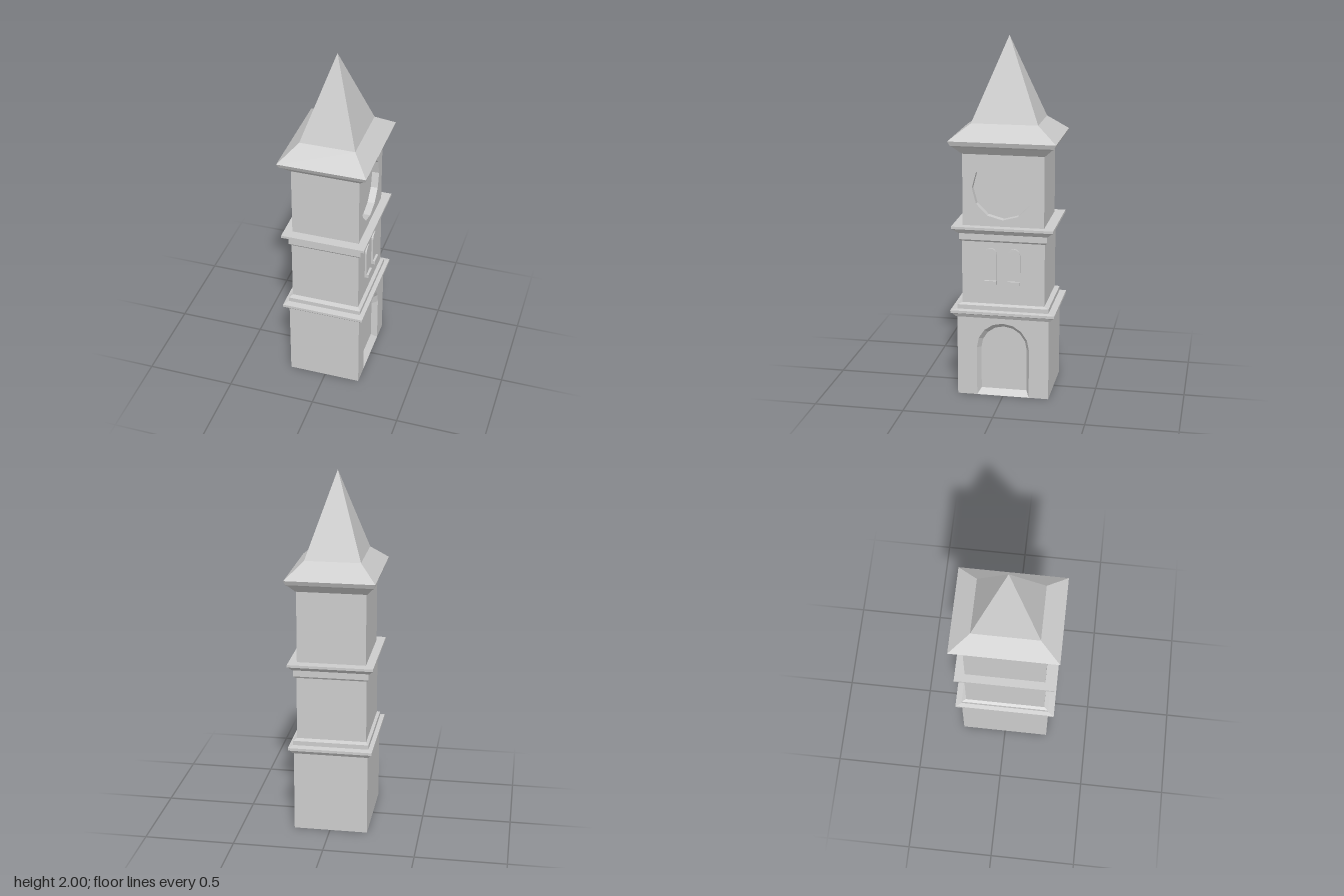
import * as THREE from 'three';

const mat = new THREE.MeshStandardMaterial({ color: 0xcccccc, flatShading: true, side: THREE.DoubleSide });
const CX = -0.004;

function mesh(name, geometry) {
  const m = new THREE.Mesh(geometry, mat);
  m.name = name;
  return m;
}

// Join equal-length loops of points with flat quads
function strip(loops) {
  const p = [];
  for (let i = 0; i < loops.length - 1; i++) {
    const a = loops[i], b = loops[i + 1], n = a.length;
    for (let j = 0; j < n; j++) {
      const k = (j + 1) % n;
      p.push(...a[j], ...a[k], ...b[k], ...a[j], ...b[k], ...b[j]);
    }
  }
  const g = new THREE.BufferGeometry();
  g.setAttribute('position', new THREE.Float32BufferAttribute(p, 3));
  g.computeVertexNormals();
  return g;
}

// Rectangular moulding from [y, half width x, half depth z] rings
function moulding(rings) {
  return strip(rings.map(([y, x, z]) =>
    [[CX - x, y, z], [CX + x, y, z], [CX + x, y, -z], [CX - x, y, -z]]));
}

function box(name, x0, x1, y0, y1, z0, z1) {
  const g = new THREE.BoxGeometry(x1 - x0, y1 - y0, z1 - z0);
  g.translate((x0 + x1) / 2, (y0 + y1) / 2, (z0 + z1) / 2);
  return mesh(name, g);
}

// Extrude a (-z, y) shape along +x, from x0 by depth
function slab(name, shape, x0, depth) {
  const g = new THREE.ExtrudeGeometry(shape, { depth, bevelEnabled: false, curveSegments: 8 });
  g.rotateY(Math.PI / 2).translate(x0, 0, 0);
  return mesh(name, g);
}

// Round-headed outline, up the right side and down the left
function arch(c, r, bottom, spring, n = 8) {
  const pts = [new THREE.Vector2(c + r, bottom)];
  for (let i = 0; i <= n; i++) {
    const a = Math.PI * i / n;
    pts.push(new THREE.Vector2(c + r * Math.cos(a), spring + r * Math.sin(a)));
  }
  pts.push(new THREE.Vector2(c - r, bottom));
  return pts;
}

const rect = (z, y0, y1) => [[-z, y0], [z, y0], [z, y1], [-z, y1]].map(p => new THREE.Vector2(...p));

export function createModel() {
  const tower = new THREE.Group();
  tower.name = 'clockTower';

  // Ground storey with a splayed arched doorway on the +x side
  const D = 0.035, baseX = 0.202;
  tower.add(box('groundStorey', -0.21, baseX - D, 0, 0.47, -0.257, 0.257));
  const outer = arch(0, 0.147, 0, 0.283);
  const inner = arch(0, 0.128, 0.03, 0.274);
  const wall = new THREE.Shape([
    new THREE.Vector2(-0.257, 0), ...outer.slice().reverse(),
    new THREE.Vector2(0.257, 0), new THREE.Vector2(0.257, 0.47), new THREE.Vector2(-0.257, 0.47)]);
  tower.add(slab('doorWall', wall, baseX - D, D));
  const at = (pts, x) => pts.map(p => [x, p.y, -p.x]);
  tower.add(mesh('doorReveal', strip([at(outer, baseX), at(inner, baseX - D + 0.001)])));

  // Middle storey
  const midX = 0.188;
  tower.add(box('middleStorey', -0.198, midX, 0.47, 0.96, -0.23, 0.23));

  // Pair of raised round-headed windows with sills
  for (const z of [0.069, -0.061]) {
    const win = new THREE.Group();
    win.name = 'window';
    win.add(slab('windowPanel', new THREE.Shape(arch(-z, 0.034, 0.67, 0.826)), midX - 0.005, 0.015));
    win.add(box('windowSill', midX - 0.005, 0.211, 0.655, 0.677, z - 0.034, z + 0.034));
    tower.add(win);
  }

  // Clock storey with a round recess on the +x side
  const topX = 0.186, C = 0.04;
  tower.add(box('clockStorey', -0.193, topX - C, 0.96, 1.4, -0.225, 0.225));
  const face = new THREE.Shape(rect(0.225, 0.96, 1.4));
  const dial = [];
  for (let i = 0; i < 12; i++) {
    const a = Math.PI * (0.5 - i / 6);
    dial.push(new THREE.Vector2(-0.003 + 0.17 * Math.cos(a), 1.19 + 0.172 * Math.sin(a)));
  }
  face.holes.push(new THREE.Path(dial));
  tower.add(slab('clockWall', face, topX - C, C));

  // Cornices
  tower.add(mesh('lowerCornice', moulding([
    [0.46, 0.18, 0.22], [0.46, 0.213, 0.265], [0.48, 0.224, 0.28], [0.485, 0.233, 0.291],
    [0.5, 0.233, 0.291], [0.505, 0.21, 0.255], [0.53, 0.21, 0.255], [0.54, 0.19, 0.226]])));
  tower.add(mesh('middleCornice', moulding([
    [0.895, 0.18, 0.22], [0.895, 0.199, 0.236], [0.905, 0.207, 0.243], [0.94, 0.207, 0.243],
    [0.943, 0.213, 0.25], [0.963, 0.228, 0.272], [0.968, 0.235, 0.281], [0.982, 0.235, 0.281],
    [0.982, 0.18, 0.21]])));
  tower.add(mesh('upperCornice', moulding([
    [1.38, 0.17, 0.2], [1.38, 0.193, 0.226], [1.42, 0.225, 0.268], [1.43, 0.236, 0.282],
    [1.455, 0.245, 0.294]])));

  // Spire with flared eaves
  tower.add(mesh('spire', moulding([
    [1.455, 0.245, 0.294], [1.54, 0.153, 0.183], [2, 0, 0]])));
  return tower;
}
